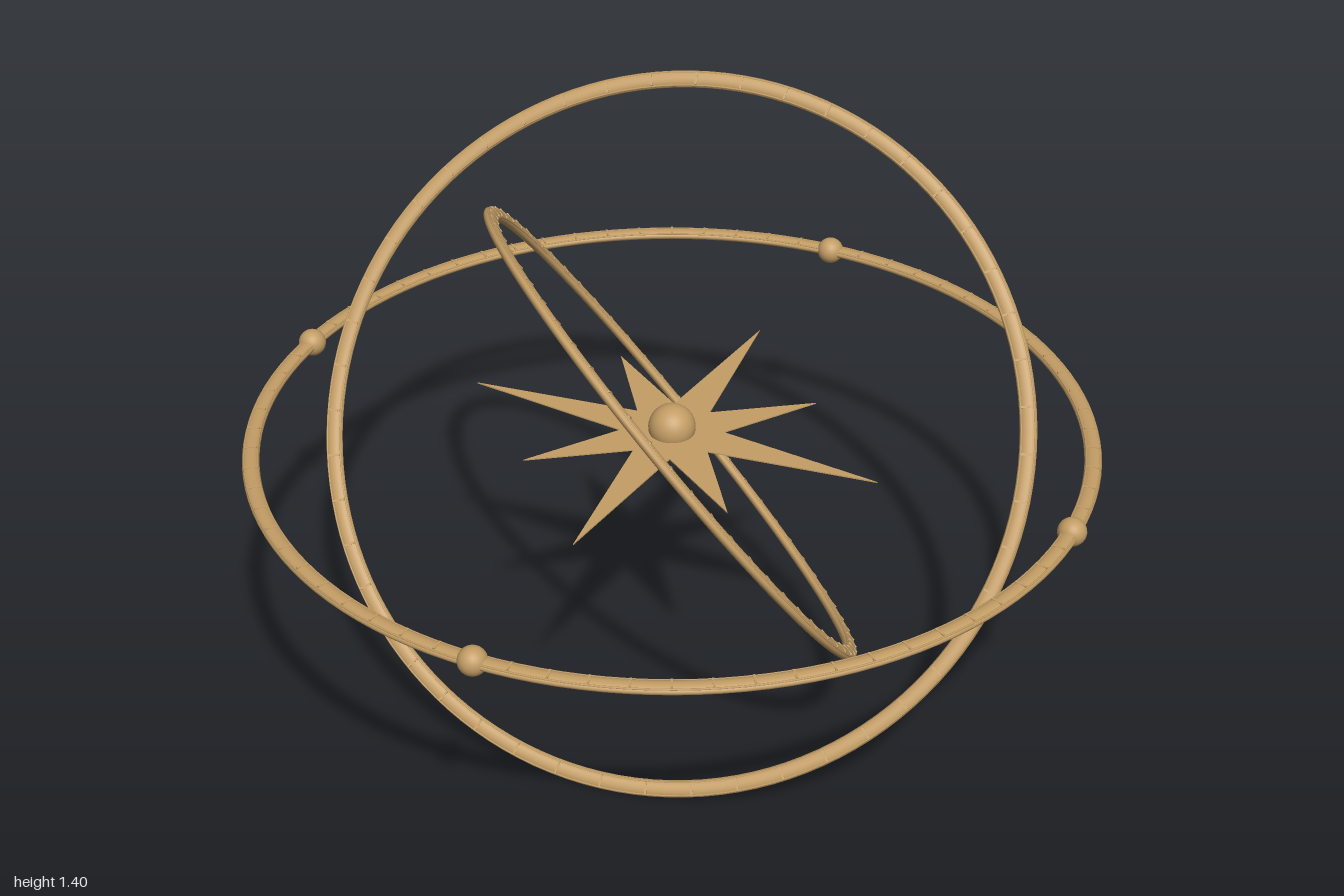
import * as THREE from 'three';

const CENTER_Y = 0.705;
const TUBE = 0.02;
const FLATTEN = 0.6;

export function createModel() {
  const brass = new THREE.MeshStandardMaterial({ color: 0xc39d65 });
  brass.name = 'brass';

  const model = new THREE.Group();
  model.name = 'armillarySphere';
  const sphere = new THREE.Group();
  sphere.name = 'sphereAssembly';
  sphere.position.y = CENTER_Y;
  model.add(sphere);

  const add = (parent, geometry, name) => {
    const mesh = new THREE.Mesh(geometry, brass);
    mesh.name = name;
    parent.add(mesh);
    return mesh;
  };

  // Flattened ring facing along its normal, with raised details on that face only
  function addRing(name, radius, normal, tickCount) {
    const ring = new THREE.Group();
    ring.name = name;
    ring.quaternion.setFromUnitVectors(new THREE.Vector3(0, 0, 1), normal.normalize());
    const band = new THREE.TorusGeometry(radius, TUBE, 16, 128).scale(1, 1, FLATTEN);
    add(ring, band, name + 'Band');

    // Fine rims near the inner and outer edges
    for (const side of [-1, 1]) {
      const rim = new THREE.TorusGeometry(radius + side * 0.0155, 0.0025, 6, 128);
      add(ring, rim, name + 'Rim').position.z = 0.0068;
    }

    // Graduation marks
    const tickShape = new THREE.BoxGeometry(0.028, 0.005, 0.005);
    for (let i = 0; i < tickCount; i++) {
      const a = (i / tickCount) * Math.PI * 2;
      const tick = add(ring, tickShape, name + 'Tick');
      tick.position.set(Math.cos(a) * radius, Math.sin(a) * radius, 0.01);
      tick.rotation.z = a;
    }
    sphere.add(ring);
  }

  addRing('horizonRing', 0.967, new THREE.Vector3(0, 1, 0), 72);
  addRing('middleRing', 0.822, new THREE.Vector3(0.14, 0.56, 0.816), 48);
  addRing('innerRing', 0.65, new THREE.Vector3(0.59, 0.58, -0.56), 60);

  // Beads at the four quarters of the horizon ring
  const beadShape = new THREE.SphereGeometry(0.033, 24, 16);
  for (let i = 0; i < 4; i++) {
    const a = (i * Math.PI) / 2;
    add(sphere, beadShape, 'horizonBead')
      .position.set(Math.cos(a) * 0.967, 0, Math.sin(a) * 0.967);
  }

  // Thin eight-pointed star: long and short points alternate
  const star = new THREE.Shape();
  for (let i = 0; i < 16; i++) {
    const a = (i / 16) * Math.PI * 2;
    const r = i % 2 ? 0.12 : i % 4 ? 0.36 : 0.51;
    star[i ? 'lineTo' : 'moveTo'](Math.cos(a) * r, Math.sin(a) * r);
  }
  star.closePath();
  const starShape = new THREE.ExtrudeGeometry(star, { depth: 0.003, bevelEnabled: false });
  starShape.rotateX(-Math.PI / 2);
  add(sphere, starShape, 'compassStar');

  // Central hub
  add(sphere, new THREE.SphereGeometry(0.055, 32, 20), 'hub').position.y = 0.015;

  return model;
}
